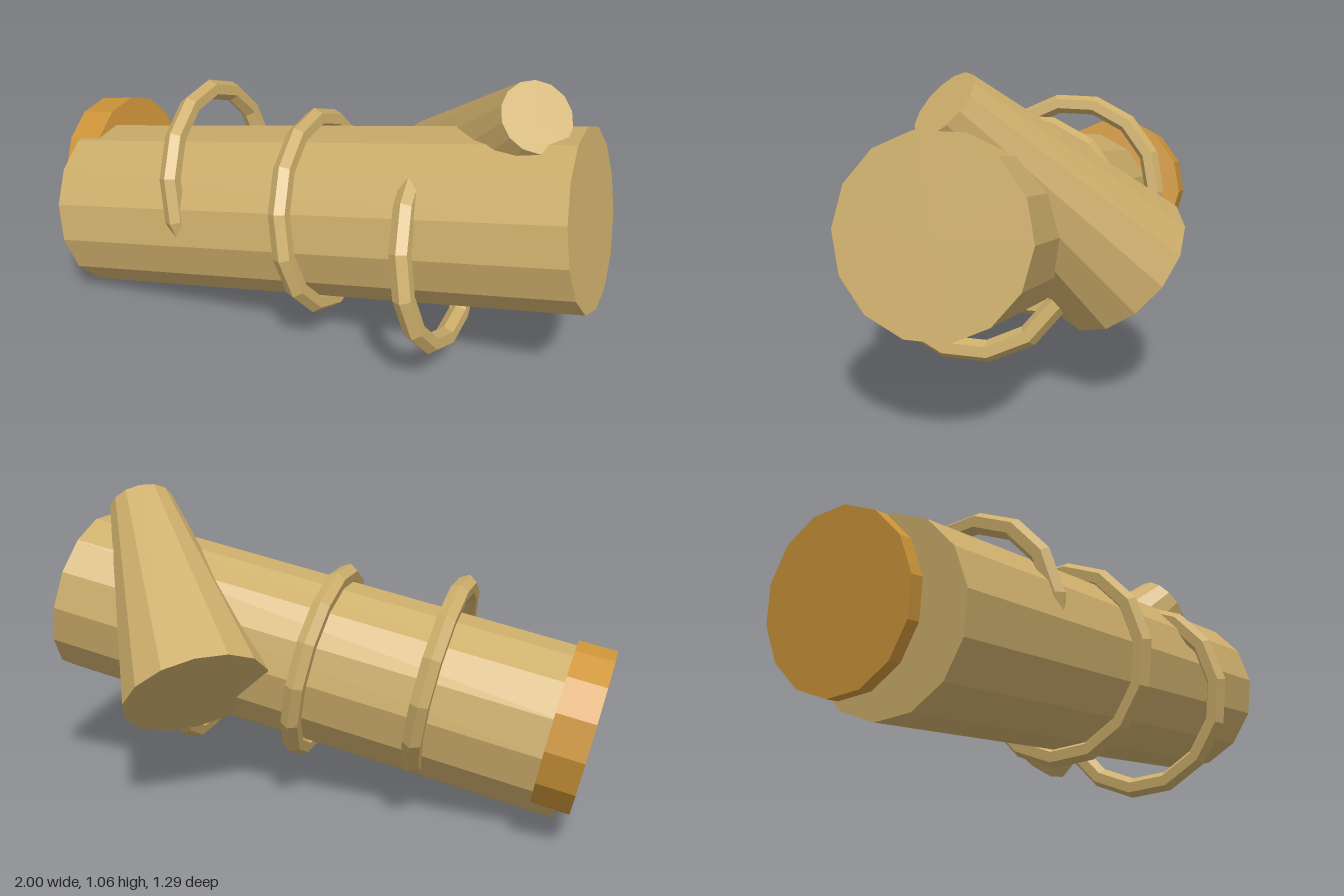
import * as THREE from 'three';

const SIDES = 14;
const V = (x, y, z) => new THREE.Vector3(x, y, z);

// Faceted normals for the low-poly look
function faceted(geometry) {
  const g = geometry.toNonIndexed();
  g.computeVertexNormals();
  return g;
}

// Rotation taking local y to the axis, with local z pointing as far upward as possible
function alongAxis(axis) {
  const x = V(0, 1, 0).cross(axis).negate().normalize();
  const z = x.clone().cross(axis);
  return new THREE.Matrix4().makeBasis(x, axis, z);
}

// Closed cylinder or cone between two points, with a flat facet uppermost
function barrel(name, from, to, rFrom, rTo, material) {
  const axis = to.clone().sub(from);
  const geo = new THREE.CylinderGeometry(rTo, rFrom, axis.length(), SIDES, 1, false, Math.PI / SIDES);
  const mesh = new THREE.Mesh(faceted(geo), material);
  mesh.name = name;
  mesh.quaternion.setFromRotationMatrix(alongAxis(axis.normalize()));
  mesh.position.copy(from).add(to).multiplyScalar(0.5);
  return mesh;
}

export function createModel() {
  const group = new THREE.Group();
  const tan = new THREE.MeshStandardMaterial({ color: 0xcdae6b });
  tan.name = 'tan';
  const amber = new THREE.MeshStandardMaterial({ color: 0xce9539 });
  amber.name = 'amber';

  // Tilted main body
  const bodyStart = V(-0.79, 0.29, 0.36);
  const bodyEnd = V(0.89, 0.665, -0.24);
  const axis = bodyEnd.clone().sub(bodyStart).normalize();
  group.add(barrel('body', bodyStart, bodyEnd, 0.292, 0.292, tan));

  // Disc set off-centre into the lower end
  const discStart = V(-0.89, 0.35, 0.26);
  const discEnd = discStart.clone().addScaledVector(axis, 0.127);
  group.add(barrel('endDisc', discStart, discEnd, 0.276, 0.276, amber));

  // Tapered branch crossing the body
  group.add(barrel('branch', V(0.21, 0.44, -0.42), V(0.715, 0.99, -0.15), 0.25, 0.115, tan));

  // Three rings around the body, the outer two shifted off its axis
  const ringGeo = faceted(new THREE.TorusGeometry(0.317, 0.035, 6, SIDES).rotateX(Math.PI / 2));
  for (let i = -1; i <= 1; i++) {
    const ring = new THREE.Mesh(ringGeo, tan);
    ring.name = 'ring' + (i + 2);
    ring.quaternion.setFromRotationMatrix(alongAxis(axis));
    ring.position.set(0.043 + i * 0.422, 0.475, 0.06 - i * 0.095);
    group.add(ring);
  }
  return group;
}
